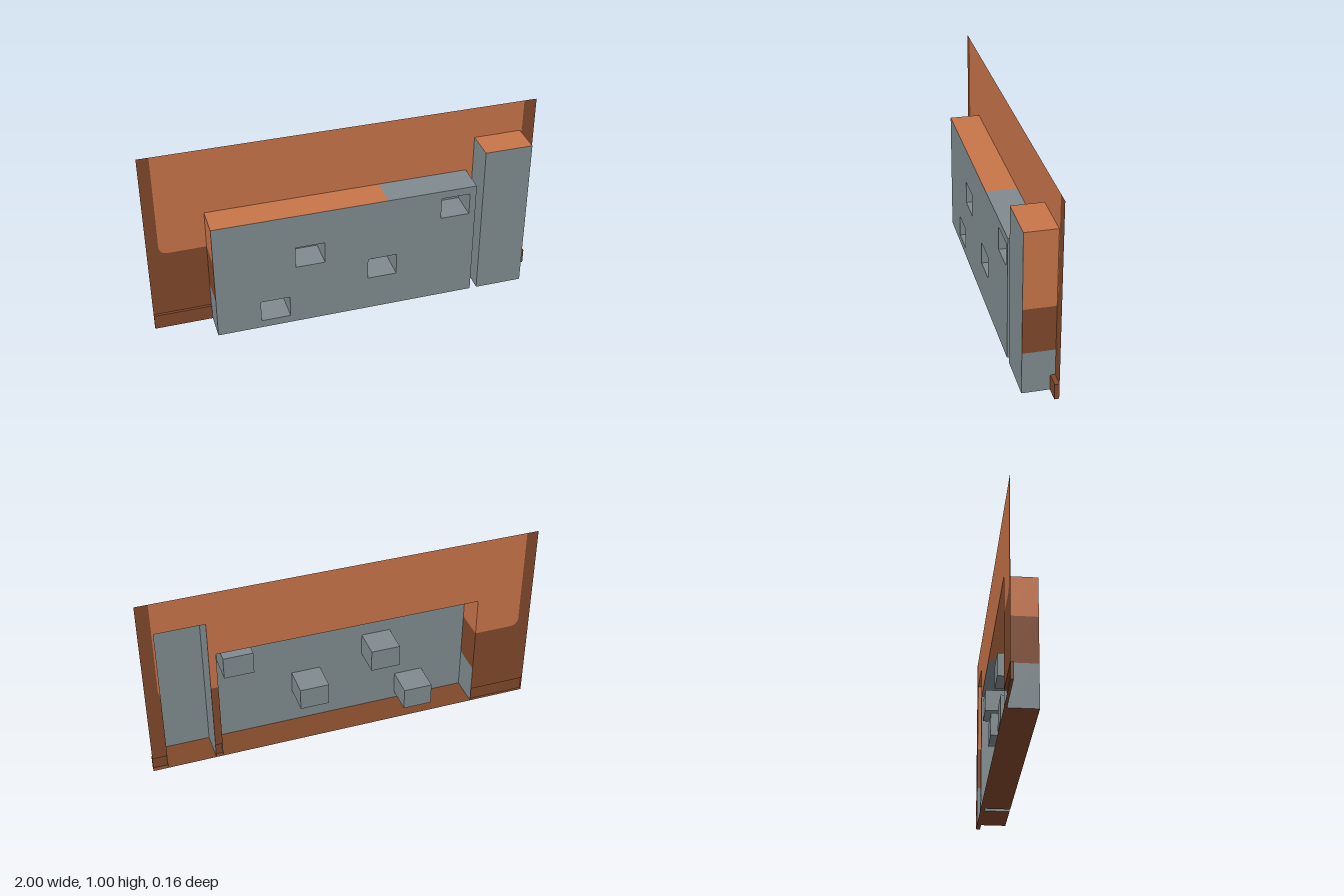
import * as THREE from 'three';

const mat = (name, color) => new THREE.MeshStandardMaterial({ name, color, side: THREE.DoubleSide });

export function createModel() {
  const orange = mat('orange', 0xc87449);
  const brown = mat('brown', 0x80482b);
  const grey = mat('grey', 0x808b8f);
  const BACK = -0.078, FRONT = 0.078;
  const BAND_LOW = 0.215, BAND_HIGH = 0.445;

  const model = new THREE.Group();
  model.name = 'wallPanel';

  const group = (name) => {
    const g = new THREE.Group();
    g.name = name;
    model.add(g);
    return g;
  };
  const add = (parent, name, geometry, material) => {
    const mesh = new THREE.Mesh(geometry, material);
    mesh.name = name;
    parent.add(mesh);
    return mesh;
  };

  // Flat sheets facing z, x or y; dir gives the sign of the normal
  const sheetZ = (p, name, m, x0, x1, y0, y1, z) =>
    add(p, name, new THREE.PlaneGeometry(x1 - x0, y1 - y0).translate((x0 + x1) / 2, (y0 + y1) / 2, z), m);
  const sheetX = (p, name, m, x, y0, y1, z0, z1, dir) =>
    add(p, name, new THREE.PlaneGeometry(z1 - z0, y1 - y0).rotateY(dir * Math.PI / 2)
      .translate(x, (y0 + y1) / 2, (z0 + z1) / 2), m);
  const sheetY = (p, name, m, x0, x1, y, z0, z1, dir) =>
    add(p, name, new THREE.PlaneGeometry(x1 - x0, z1 - z0).rotateX(-dir * Math.PI / 2)
      .translate((x0 + x1) / 2, y, (z0 + z1) / 2), m);

  // Side wall painted in three horizontal bands
  const bandedSide = (p, x, top, dir) => {
    sheetX(p, 'sideLower', grey, x, 0, BAND_LOW, BACK, FRONT, dir);
    sheetX(p, 'sideMiddle', brown, x, BAND_LOW, BAND_HIGH, BACK, FRONT, dir);
    sheetX(p, 'sideUpper', orange, x, BAND_HIGH, top, BACK, FRONT, dir);
  };

  const block = { x0: -0.705, x1: 0.643, top: 0.645 };
  const pillar = { x0: 0.68, x1: 0.925, top: 0.83 };

  // Back wall: orange field with a brown surround, open behind block and pillar
  const arc = [];
  for (let i = 0; i <= 6; i++) {
    const a = Math.PI + (i / 6) * Math.PI / 2;
    arc.push([-0.9 + 0.04 * Math.cos(a), 0.485 + 0.04 * Math.sin(a)]);
  }
  const wall = group('backWall');
  const wallPart = (name, m, points) => add(wall, name,
    new THREE.ShapeGeometry(new THREE.Shape(points.map(([x, y]) => new THREE.Vector2(x, y))))
      .translate(0, 0, BACK), m);
  wallPart('field', orange, [
    [-0.94, 1], ...arc,
    [block.x0, BAND_HIGH], [block.x0, block.top], [block.x1, block.top], [block.x1, BAND_HIGH],
    [pillar.x0, BAND_HIGH], [pillar.x0, pillar.top], [pillar.x1, pillar.top],
    [pillar.x1, 0.46], [0.935, 0.485], [0.935, 1],
  ]);
  wallPart('leftSurround', brown, [
    [-1, 0.08], [block.x0, 0.08], [block.x0, BAND_HIGH], ...arc.slice().reverse(), [-0.94, 1], [-1, 1],
  ]);
  wallPart('gapSurround', brown, [
    [block.x1, 0.08], [pillar.x0, 0.08], [pillar.x0, BAND_HIGH], [block.x1, BAND_HIGH],
  ]);
  wallPart('rightSurround', brown, [
    [pillar.x1, 0.08], [1, 0.08], [1, 1], [0.935, 1], [0.935, 0.485], [pillar.x1, 0.46],
  ]);

  // Skirting strips, open at the back
  const skirting = (name, x0, x1, z) => {
    const g = group(name);
    sheetZ(g, 'skirtingFront', brown, x0, x1, 0, 0.08, z);
    sheetY(g, 'skirtingTop', brown, x0, x1, 0.08, BACK, z, 1);
    sheetY(g, 'skirtingBottom', brown, x0, x1, 0, BACK, z, -1);
    if (x0 === -1) sheetX(g, 'skirtingEnd', brown, x0, 0, 0.08, BACK, z, -1);
    if (x1 === 1) sheetX(g, 'skirtingEnd', brown, x1, 0, 0.08, BACK, z, 1);
  };
  skirting('leftSkirting', -1, block.x0, -0.064);
  skirting('gapSkirting', block.x1, pillar.x0, -0.055);
  skirting('rightSkirting', pillar.x1, 1, -0.055);

  // Hollow block with four niches sunk into its face
  const b = group('block');
  const niches = [[-0.48, 0.042], [-0.295, 0.34], [0.08, 0.19], [0.46, 0.485]];
  const NW = 0.15, NH = 0.118, NZ = -0.072;
  const face = new THREE.Shape([
    new THREE.Vector2(block.x0, 0), new THREE.Vector2(block.x1, 0),
    new THREE.Vector2(block.x1, block.top), new THREE.Vector2(block.x0, block.top),
  ]);
  for (const [x, y] of niches) {
    face.holes.push(new THREE.Path([
      new THREE.Vector2(x, y), new THREE.Vector2(x, y + NH),
      new THREE.Vector2(x + NW, y + NH), new THREE.Vector2(x + NW, y),
    ]));
    const n = new THREE.Group();
    n.name = 'niche';
    b.add(n);
    sheetZ(n, 'nicheBack', grey, x, x + NW, y, y + NH, NZ);
    sheetX(n, 'nicheSide', grey, x, y, y + NH, NZ, FRONT, 1);
    sheetX(n, 'nicheSide', grey, x + NW, y, y + NH, NZ, FRONT, -1);
    sheetY(n, 'nicheFloor', grey, x, x + NW, y, NZ, FRONT, 1);
    sheetY(n, 'nicheCeiling', grey, x, x + NW, y + NH, NZ, FRONT, -1);
  }
  add(b, 'blockFace', new THREE.ShapeGeometry(face).translate(0, 0, FRONT), grey);
  sheetY(b, 'blockTopLong', orange, block.x0, 0.18, block.top, BACK, FRONT, 1);
  sheetY(b, 'blockTopShort', grey, 0.18, block.x1, block.top, BACK, FRONT, 1);
  sheetY(b, 'blockBottom', brown, block.x0, block.x1, 0, BACK, FRONT, -1);
  sheetX(b, 'blockInnerSide', grey, block.x1, 0, block.top, BACK, FRONT, 1);
  bandedSide(b, block.x0, block.top, -1);

  // Hollow pillar
  const p = group('pillar');
  sheetZ(p, 'pillarFace', grey, pillar.x0, pillar.x1, 0, pillar.top, FRONT);
  sheetY(p, 'pillarTop', orange, pillar.x0, pillar.x1, pillar.top, BACK, FRONT, 1);
  sheetY(p, 'pillarBottom', brown, pillar.x0, pillar.x1, 0, BACK, FRONT, -1);
  sheetX(p, 'pillarInnerSide', grey, pillar.x0, 0, pillar.top, BACK, FRONT, -1);
  bandedSide(p, pillar.x1, pillar.top, 1);

  return model;
}
